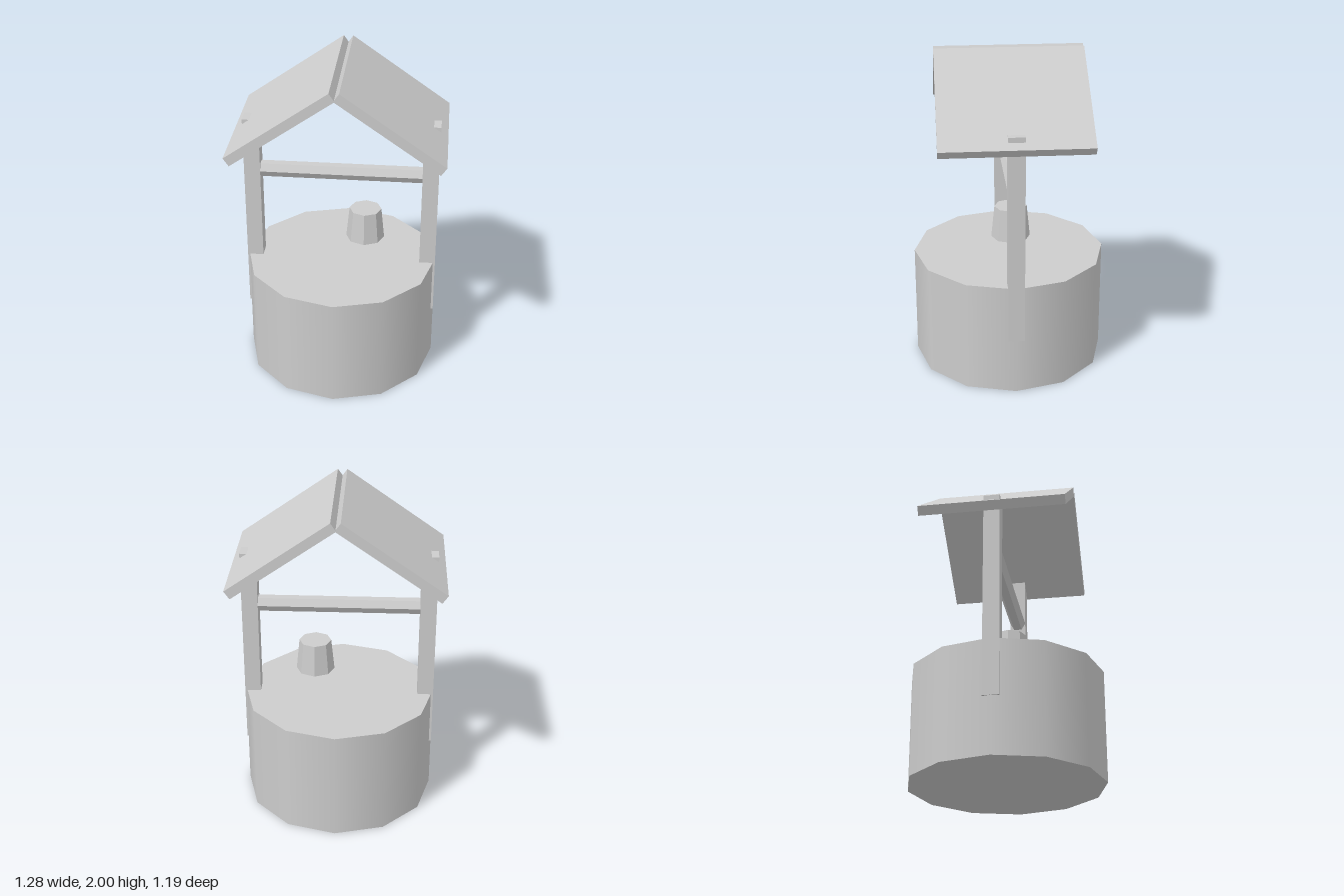
import * as THREE from 'three';

const stone = new THREE.MeshStandardMaterial({ color: 0xcccccc });
stone.name = 'plainGrey';

export function createModel() {
  const model = new THREE.Group();
  model.name = 'well';

  function add(name, geometry, x, y, z = 0, tilt = 0) {
    const mesh = new THREE.Mesh(geometry, stone);
    mesh.name = name;
    mesh.position.set(x, y, z);
    mesh.rotation.z = tilt;
    model.add(mesh);
    return mesh;
  }

  // Faceted parts get one normal per face
  function faceted(geometry) {
    const flat = geometry.toNonIndexed();
    flat.computeVertexNormals();
    return flat;
  }

  // Smooth twelve-sided base
  add('wellBase', new THREE.CylinderGeometry(0.594, 0.594, 0.694, 12), 0, 0.347);

  // Posts reaching from the base through the roof, and the two roof slabs
  const roofTilt = THREE.MathUtils.degToRad(35);
  for (const [side, s] of [['left', 1], ['right', -1]]) {
    add(side + 'Post', new THREE.BoxGeometry(0.099, 1.288, 0.099), s * 0.545, 0.991);
    add(side + 'Roof', new THREE.BoxGeometry(0.743, 0.059, 0.89), s * 0.3165, 1.763, 0, -s * roofTilt);
  }

  // Hexagonal crossbar between the posts
  add('crossbar', faceted(new THREE.CylinderGeometry(0.0495, 0.0495, 0.994, 6)), 0, 1.29, 0, Math.PI / 2);

  // Eight-sided bucket, wider at the bottom
  add('bucket', faceted(new THREE.CylinderGeometry(0.099, 0.119, 0.198, 8)), 0.149, 0.942);

  return model;
}
